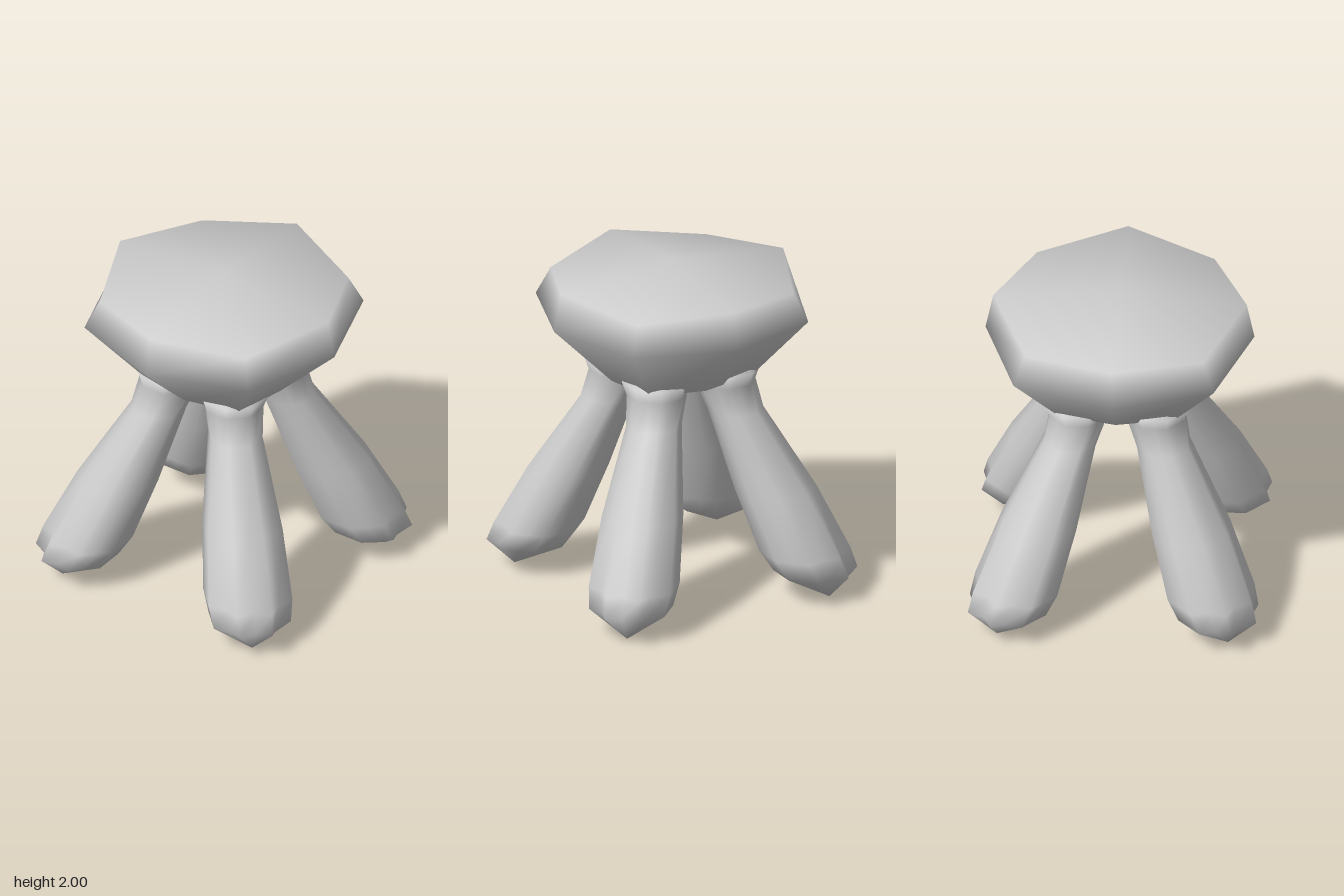
import * as THREE from 'three';

const material = new THREE.MeshStandardMaterial({ color: 0xcccccc });

// Smooth closed skin over rings listed from bottom to top, ending in a point at each end.
function loft(name, bottom, rings, top) {
  const n = rings[0].length;
  const points = [bottom, ...rings.flat(), top];
  const last = points.length - 1;
  const at = (i, j) => 1 + i * n + (j % n);
  const index = [];
  for (let j = 0; j < n; j++) {
    index.push(0, at(0, j), at(0, j + 1));
    for (let i = 0; i < rings.length - 1; i++) {
      const a = at(i, j), b = at(i, j + 1), c = at(i + 1, j), d = at(i + 1, j + 1);
      index.push(a, c, b, b, c, d);
    }
    index.push(last, at(rings.length - 1, j + 1), at(rings.length - 1, j));
  }
  const geometry = new THREE.BufferGeometry();
  geometry.setAttribute('position', new THREE.Float32BufferAttribute(points.flat(), 3));
  geometry.setIndex(index);
  geometry.computeVertexNormals();
  const mesh = new THREE.Mesh(geometry, material);
  mesh.name = name;
  return mesh;
}

// Eight-sided seat: axis corners and diagonal corners have their own radius and height.
function createSeat() {
  const ring = (rAxis, yAxis, rDiag, yDiag) => Array.from({ length: 8 }, (_, j) => {
    const a = j * Math.PI / 4, r = j % 2 ? rDiag : rAxis;
    return [r * Math.cos(a), j % 2 ? yDiag : yAxis, r * Math.sin(a)];
  });
  return loft('seat', [0, 1.27, 0], [
    ring(0.4, 1.32, 0.48, 1.33),
    ring(0.78, 1.7, 0.82, 1.7),
    ring(0.735, 1.925, 0.73, 1.87),
  ], [0, 2, 0]);
}

// Leg leaning out along the +x +z diagonal, with folds on the outer side of the foot.
function createLeg() {
  // [height, centre on x and z, radius, fold depth]
  const sections = [
    [0.165, 0.61, 0.245, 0.14],
    [0.28, 0.565, 0.265, 0.14],
    [0.65, 0.44, 0.238, 0.01],
    [1.12, 0.27, 0.162, 0],
    [1.29, 0.225, 0.178, 0],
    [1.37, 0.225, 0.205, 0],
  ];
  const rings = sections.map(([y, c, radius, fold]) => Array.from({ length: 16 }, (_, j) => {
    const a = j * Math.PI / 8;
    let r = radius;
    if (j % 2 === 0) r *= 0.924 - fold * Math.max(0, Math.cos(a));
    const angle = a + Math.PI / 4;
    return [c + r * Math.cos(angle), y, c + r * Math.sin(angle)];
  }));
  return loft('leg', [0.67, 0, 0.67], rings, [0.2, 1.6, 0.2]);
}

export function createModel() {
  const model = new THREE.Group();
  model.name = 'stool';
  model.add(createSeat());

  const leg = createLeg();
  ['frontLeftLeg', 'backLeftLeg', 'backRightLeg', 'frontRightLeg'].forEach((name, i) => {
    const copy = leg.clone();
    copy.name = name;
    copy.rotation.y = i * Math.PI / 2;
    model.add(copy);
  });
  return model;
}
